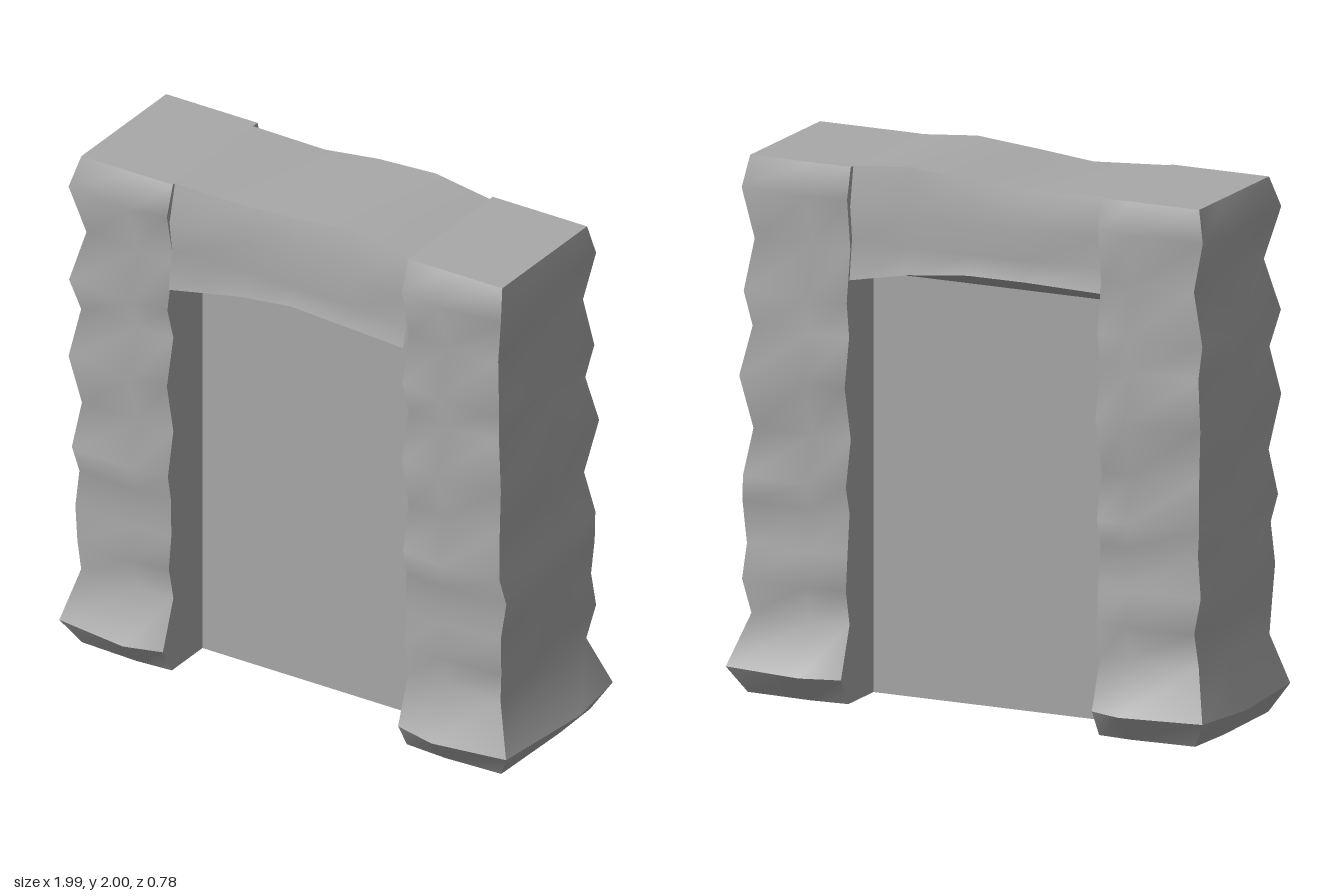
import * as THREE from 'three';

const stone = new THREE.MeshStandardMaterial({ color: 0xa8a8a8, side: THREE.DoubleSide });
stone.name = 'grey stone';

// Smooth sheet through rows of points (rows upward, columns left to right from outside)
function sheet(name, rows) {
  const n = rows[0].length, index = [];
  for (let i = 0; i < rows.length - 1; i++) {
    for (let j = 0; j < n - 1; j++) {
      const a = i * n + j, b = a + 1, c = a + n, d = c + 1;
      index.push(a, b, d, a, d, c);
    }
  }
  const geo = new THREE.BufferGeometry();
  geo.setAttribute('position', new THREE.Float32BufferAttribute(rows.flat(2), 3));
  geo.setIndex(index);
  geo.computeVertexNormals();
  const mesh = new THREE.Mesh(geo, stone);
  mesh.name = name;
  return mesh;
}

// Rough-hewn profiles, from the foot upward
const levels = [0, 0.1, 0.29, 0.42, 0.55, 0.7, 0.8, 0.97, 1.17, 1.35, 1.48, 1.67, 1.86, 1.975];
const frontZ = [0.3, 0.39, 0.285, 0.33, 0.305, 0.31, 0.34, 0.285, 0.35, 0.285, 0.345, 0.285, 0.35, 0.29];
const backZ = [0.3, 0.39, 0.285, 0.33, 0.31, 0.285, 0.33, 0.27, 0.345, 0.29, 0.32, 0.275, 0.315, 0.27];
const leftX = [0.9, 0.99, 0.885, 0.92, 0.9, 0.94, 0.915, 0.88, 0.93, 0.875, 0.915, 0.87, 0.93, 0.9];
const rightX = [0.91, 1.0, 0.925, 0.92, 0.95, 0.92, 0.95, 0.92, 0.965, 0.925, 0.965, 0.89, 0.965, 0.92];

// Corners bulge less than the middle of a face
const soften = (v, base) => base + (v - base) * 0.65;

function pillar(name, side, outer, inner) {
  const group = new THREE.Group();
  group.name = name;
  const last = levels.length - 1;
  const rings = levels.map((y, i) => {
    const cx = soften(outer[i], 0.88), cf = soften(frontZ[i], 0.27), cb = soften(backZ[i], 0.27);
    const top = i === last;
    const mx = top ? cx : outer[i], mf = top ? cf : frontZ[i], mb = top ? cb : backZ[i];
    const ring = [
      [inner, cf], [0.66, mf], [cx, cf], [mx, -0.08],
      [cx, -cb], [0.64, -mb], [inner, -cb], [inner, cf],
    ];
    return ring.map(([x, z]) => [side * x, y, z]);
  });
  const faces = { Front: [0, 3], Outer: [2, 5], Back: [4, 7], Inner: [6, 8] };
  for (const [face, [from, to]] of Object.entries(faces)) {
    const rows = rings.map((r) => {
      const part = r.slice(from, to);
      return side > 0 ? part : part.reverse();
    });
    // Splayed foot and shaft are separate so the edge stays sharp
    group.add(sheet('foot' + face, rows.slice(0, 2)));
    group.add(sheet('shaft' + face, rows.slice(1)));
  }
  // Flat cap
  const cap = rings[last];
  const rows = [[cap[0], cap[1], cap[2]], [cap[6], cap[5], cap[4]]];
  group.add(sheet('cap', side > 0 ? rows : rows.map((r) => r.reverse())));
  return group;
}

// Lintel stations: x, top y, top front z, top back z, front face z, back face z, arch y
const stations = [
  [-0.515, 1.975, 0.27, -0.24, 0.31, -0.285, 1.56],
  [-0.22, 1.96, 0.25, -0.258, 0.29, -0.295, 1.61],
  [0, 1.98, 0.255, -0.275, 0.298, -0.315, 1.64],
  [0.25, 2.0, 0.26, -0.265, 0.31, -0.298, 1.635],
  [0.49, 1.975, 0.275, -0.25, 0.315, -0.28, 1.625],
];

function lintel() {
  const group = new THREE.Group();
  group.name = 'lintel';
  const make = (fn) => stations.map(fn);
  const backArch = (i) => stations[stations.length - 1 - i][6];
  // Front face and sloping soffit
  const frontEdge = make(([x, , , , z, , a]) => [x, a, z]);
  group.add(sheet('lintelFront', [
    frontEdge,
    make(([x, , , , z]) => [x, 1.71, z - 0.022]),
    make(([x, , , , z]) => [x, 1.83, z - 0.005]),
    make(([x, y, z]) => [x, y, z]),
  ]));
  group.add(sheet('frontSoffit', [make(([x]) => [x, 1.55, 0.09]), frontEdge]));
  // Back face and soffit
  const backEdge = make(([x, , , , , z], i) => [x, backArch(i), z]);
  group.add(sheet('lintelBack', [
    backEdge,
    make(([x, , , , , z]) => [x, 1.71, z + 0.02]),
    make(([x, , , , , z]) => [x, 1.83, z + 0.005]),
    make(([x, y, , z]) => [x, y, z]),
  ].map((r) => [...r].reverse())));
  group.add(sheet('backSoffit', [make(([x]) => [x, 1.55, -0.09]), backEdge].map((r) => [...r].reverse())));
  // Wavy top
  group.add(sheet('lintelTop', [
    make(([x, y, z]) => [x, y, z]),
    make(([x, y, , z]) => [x, y, z]),
  ]));
  return group;
}

export function createModel() {
  const model = new THREE.Group();
  model.name = 'stoneDoorway';
  model.add(pillar('leftPillar', 1, leftX, 0.49));
  model.add(pillar('rightPillar', -1, rightX, 0.515));
  model.add(lintel());

  // Recessed slabs filling the doorway on both faces
  for (const s of [1, -1]) {
    const slab = new THREE.Mesh(new THREE.PlaneGeometry(1.01, 1.55), stone);
    slab.position.set(-0.0125, 0.775, s * 0.09);
    if (s < 0) slab.rotation.y = Math.PI;
    slab.name = s > 0 ? 'frontSlab' : 'backSlab';
    model.add(slab);
  }
  return model;
}
